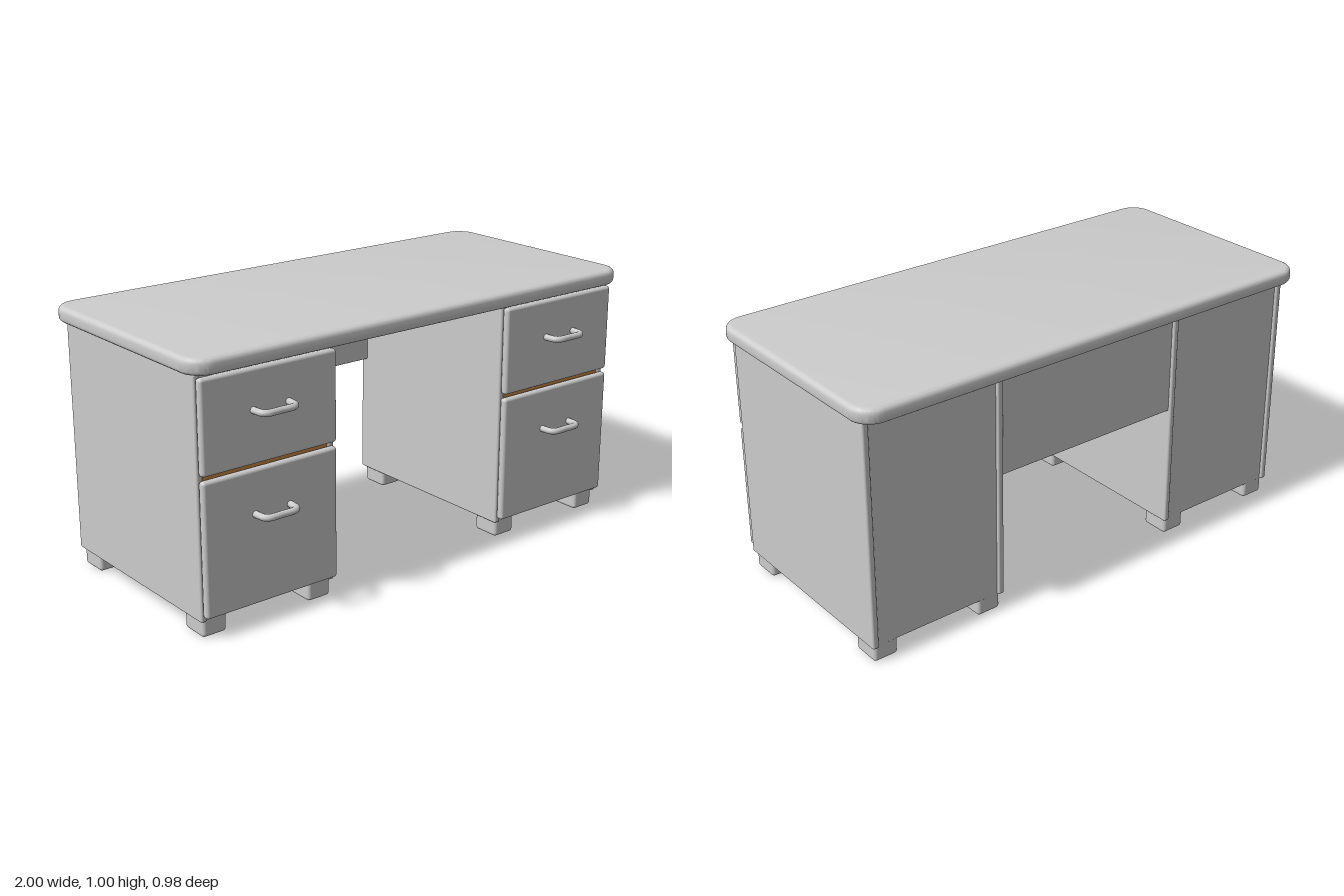
import * as THREE from 'three';
import { toCreasedNormals } from 'three/addons/utils/BufferGeometryUtils.js';
import { RoundedBoxGeometry } from 'three/addons/geometries/RoundedBoxGeometry.js';

const grey = new THREE.MeshStandardMaterial({ color: 0xcccccc });
grey.name = 'lightGrey';
const wood = new THREE.MeshStandardMaterial({ color: 0xcc8844 });
wood.name = 'orangeWood';

// Rounded box given by its limits on each axis
function block(name, [x0, x1], [y0, y1], [z0, z1], radius, material = grey) {
  const geometry = new RoundedBoxGeometry(x1 - x0, y1 - y0, z1 - z0, 3, radius);
  const mesh = new THREE.Mesh(geometry, material);
  mesh.position.set((x0 + x1) / 2, (y0 + y1) / 2, (z0 + z1) / 2);
  mesh.name = name;
  return mesh;
}

// Slab with rounded corners and a soft rim
function makeTop() {
  const bevel = 0.02, r = 0.065, w = 1 - bevel, d = 0.465 - bevel;
  const outline = new THREE.Shape();
  outline.absarc(w - r, d - r, r, 0, Math.PI / 2);
  outline.absarc(-w + r, d - r, r, Math.PI / 2, Math.PI);
  outline.absarc(-w + r, -d + r, r, Math.PI, Math.PI * 1.5);
  outline.absarc(w - r, -d + r, r, Math.PI * 1.5, Math.PI * 2);
  const geometry = new THREE.ExtrudeGeometry(outline, {
    depth: 0.02, bevelEnabled: true, bevelSize: bevel, bevelThickness: bevel,
    bevelSegments: 5, curveSegments: 10,
  });
  geometry.rotateX(-Math.PI / 2);
  const mesh = new THREE.Mesh(toCreasedNormals(geometry, 0.6), grey);
  mesh.position.set(0, 0.966, -0.022);
  mesh.name = 'desktop';
  return mesh;
}

// Bent bar handle, centred on the drawer front
function makeHandle(x, y) {
  const path = new THREE.CatmullRomCurve3([
    [-0.073, 0.405], [-0.071, 0.44], [-0.067, 0.462], [-0.052, 0.474], [0, 0.475],
    [0.052, 0.474], [0.067, 0.462], [0.071, 0.44], [0.073, 0.405],
  ].map(([px, pz]) => new THREE.Vector3(px, 0, pz)));
  const mesh = new THREE.Mesh(new THREE.TubeGeometry(path, 48, 0.0125, 12), grey);
  mesh.position.set(x, y, 0);
  mesh.name = 'drawerHandle';
  return mesh;
}

// Drawer cabinet centred on x
function makePedestal(x) {
  const group = new THREE.Group();
  group.name = 'pedestal';
  const span = (a, b) => [x + a, x + b];
  const half = 0.285, inner = 0.259;

  // Side panels with the core between them, set back at front and rear
  group.add(
    block('sidePanel', span(-half, -inner), [0.066, 0.946], [-0.43, 0.39], 0.008),
    block('sidePanel', span(inner, half), [0.066, 0.946], [-0.43, 0.39], 0.008),
    block('cabinetCore', span(-inner - 0.005, inner + 0.005), [0.068, 0.948], [-0.42, 0.375], 0.002),
    block('drawerDivider', span(-inner, inner), [0.57, 0.615], [0.36, 0.386], 0.002, wood),
  );

  // Drawer fronts and their handles
  for (const [y0, y1, handleY] of [[0.085, 0.581, 0.42], [0.597, 0.935, 0.79]]) {
    group.add(block('drawerFront', span(-0.279, 0.279), [y0, y1], [0.388, 0.418], 0.0125));
    group.add(makeHandle(x, handleY));
  }

  // Feet
  for (const fx of [-0.224, 0.224]) {
    for (const fz of [-0.361, 0.324]) {
      group.add(block('foot', span(fx - 0.049, fx + 0.049), [0.002, 0.08], [fz - 0.056, fz + 0.056], 0.013));
    }
  }
  return group;
}

export function createModel() {
  const desk = new THREE.Group();
  desk.name = 'desk';
  desk.add(makeTop());
  for (const side of [-1, 1]) desk.add(makePedestal(side * 0.683));
  desk.add(block('modestyPanel', [-0.402, 0.402], [0.55, 0.948], [-0.42, -0.395], 0.006));
  return desk;
}
